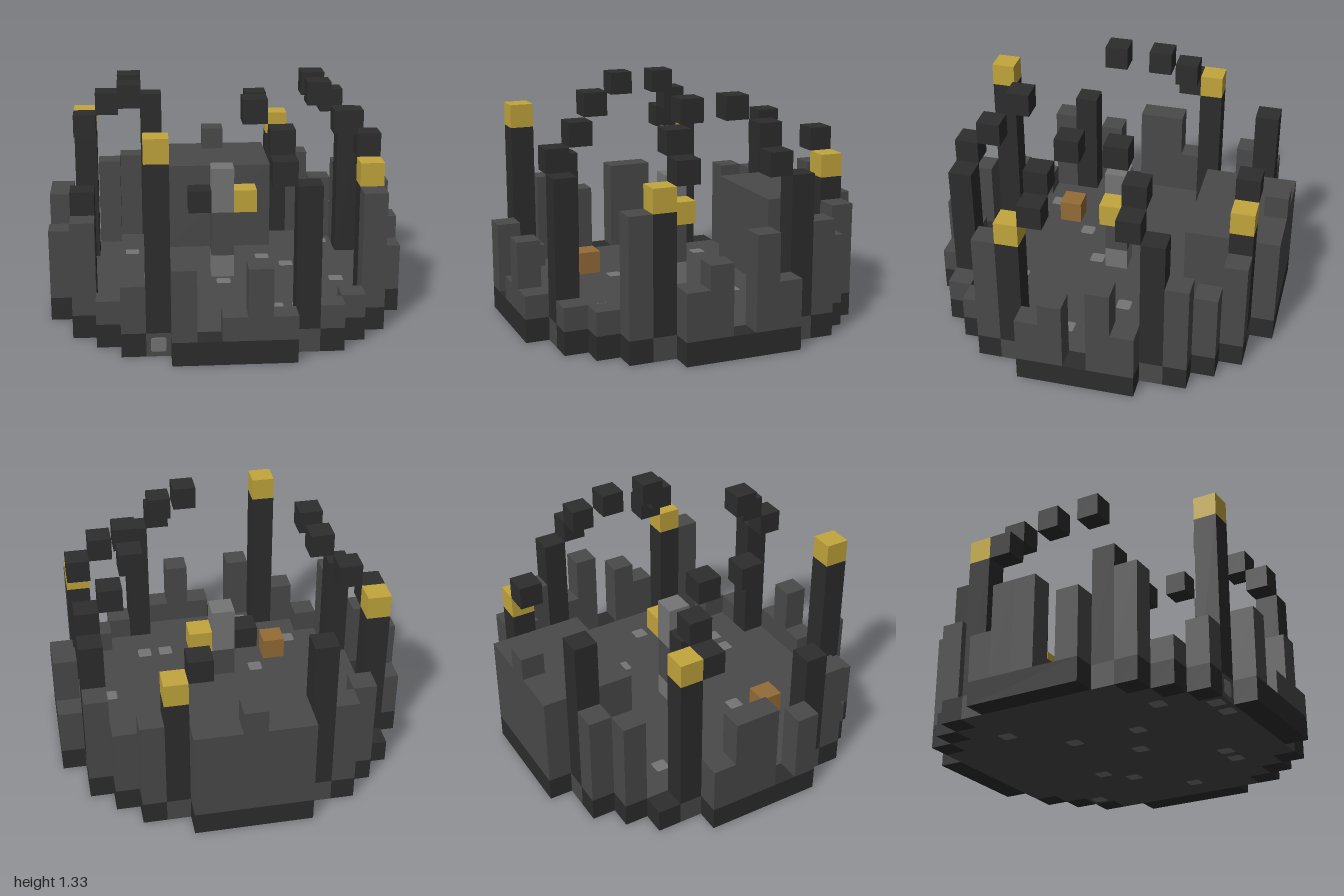
import * as THREE from 'three';
import { mergeGeometries } from 'three/addons/utils/BufferGeometryUtils.js';
import { RoundedBoxGeometry } from 'three/addons/geometries/RoundedBoxGeometry.js';

const U = 2 / 15; // one block

const material = (name, color) => {
  const m = new THREE.MeshStandardMaterial({ color });
  m.name = name;
  return m;
};

// Box of w x h x d blocks, standing on level y and centred on cell x, z
function block(x, y, z, h = 1, w = 1, d = 1) {
  return new THREE.BoxGeometry(w * U, h * U, d * U).translate(x * U, (y + h / 2) * U, z * U);
}

export function createModel() {
  const dark = material('darkStone', 0x2d2d2d);
  const grey = material('greyStone', 0x4a4a4a);
  const light = material('lightStone', 0x757575);
  const gold = material('gold', 0xc2a63c);
  const brown = material('brown', 0x946c36);

  const model = new THREE.Group();
  model.name = 'ruinedArena';
  const add = (name, mat, geometries) => {
    const mesh = new THREE.Mesh(mergeGeometries(geometries), mat);
    mesh.name = name;
    model.add(mesh);
  };

  // Round floor, one slab per row
  const floor = [];
  for (let z = -6; z <= 6; z++) {
    const half = Math.floor(Math.sqrt(48 - z * z));
    floor.push(block(0, 0, z, 1, 2 * half + 1));
  }
  add('floor', grey, floor);

  // Dark foundation around the floor
  const rim = [];
  for (const s of [-1, 1]) {
    rim.push(block(0, 0, 7 * s, 1, 5), block(7 * s, 0, 0, 1, 1, 5));
    for (const t of [-1, 1])
      for (const [x, z] of [[4, 6], [5, 5], [6, 4]]) rim.push(block(x * s, 0, z * t));
  }
  add('foundationRim', dark, rim);

  // Rounded pale stones set into the floor
  const stones = [[-4, -3], [2, -2], [-2, -1], [3, -1], [5, -4], [5, 1], [0, 1], [-2, 2],
    [-4, 4], [2, 4], [3, 4], [-2, 6], [-3, 6]];
  add('floorStones', light, stones.map(([x, z]) =>
    new RoundedBoxGeometry(U * 1.02, U * 1.02, U * 1.02, 3, 0.035).translate(x * U, U / 2, z * U)));

  // Broken outer wall: x, z, height
  const wall = [[-2, 7, 3], [0, 7, 1], [1, 7, 3], [2, 7, 1], [4, 6, 1], [5, 5, 1], [6, 4, 5],
    [7, 2, 2], [7, 1, 3], [7, -1, 4], [7, -2, 2], [6, -4, 4], [5, -5, 3], [4, -6, 4],
    [-4, -6, 4], [-5, -5, 4], [-7, -2, 2], [-7, -1, 4], [-7, 0, 4], [-7, 2, 3],
    [-6, 4, 4], [-5, 5, 1], [-4, 6, 2]];
  add('brokenWall', grey, wall.map(([x, z, h]) => block(x, 1, z, h)));

  // Raised platform at the back with one block on its edge
  add('backPlatform', grey, [block(0, 1, -5.5, 4, 5, 4), block(0, 5, -7)]);

  // Pillars: x, z, height, gold cap
  const pillars = [[-3, 6, 7, true], [3, 6, 6], [6, 3, 5, true], [6, -3, 6],
    [3, -6, 5, true], [-3, -6, 7], [-6, -3, 6, true], [-6, 3, 5]];
  add('pillars', dark, pillars.map(([x, z, h]) => block(x, 1, z, h)));
  add('pillarCaps', gold, pillars.filter((p) => p[3]).map(([x, z, h]) => block(x, 1 + h, z)));

  // Remains of the ribs that curve inward from the pillars: x, level, z
  const ribs = [[2, 7, 6], [2, 8, 5], [1, 9, 4], [-4, 9, 1], [2, 7, -6]];
  for (const [s, t] of [[1, 1], [1, -1], [-1, -1]])
    ribs.push([6 * s, 7, 2 * t], [5 * s, 8, 2 * t], [4 * s, 9, t]);
  add('ribs', dark, ribs.map(([x, y, z]) => block(x, y, z)));

  // Central monument with a dark and a gold arm
  add('monumentEnds', light, [block(0, 1, 0), block(0, 4, 0, 2)]);
  add('monumentShaft', grey, [block(0, 2, 0, 2)]);
  add('monumentDarkArm', dark, [block(-1, 4, 0)]);
  add('monumentGoldArm', gold, [block(1, 4, 0)]);

  // Small crate on the floor
  add('crate', brown, [block(-3, 1, 3)]);

  return model;
}
